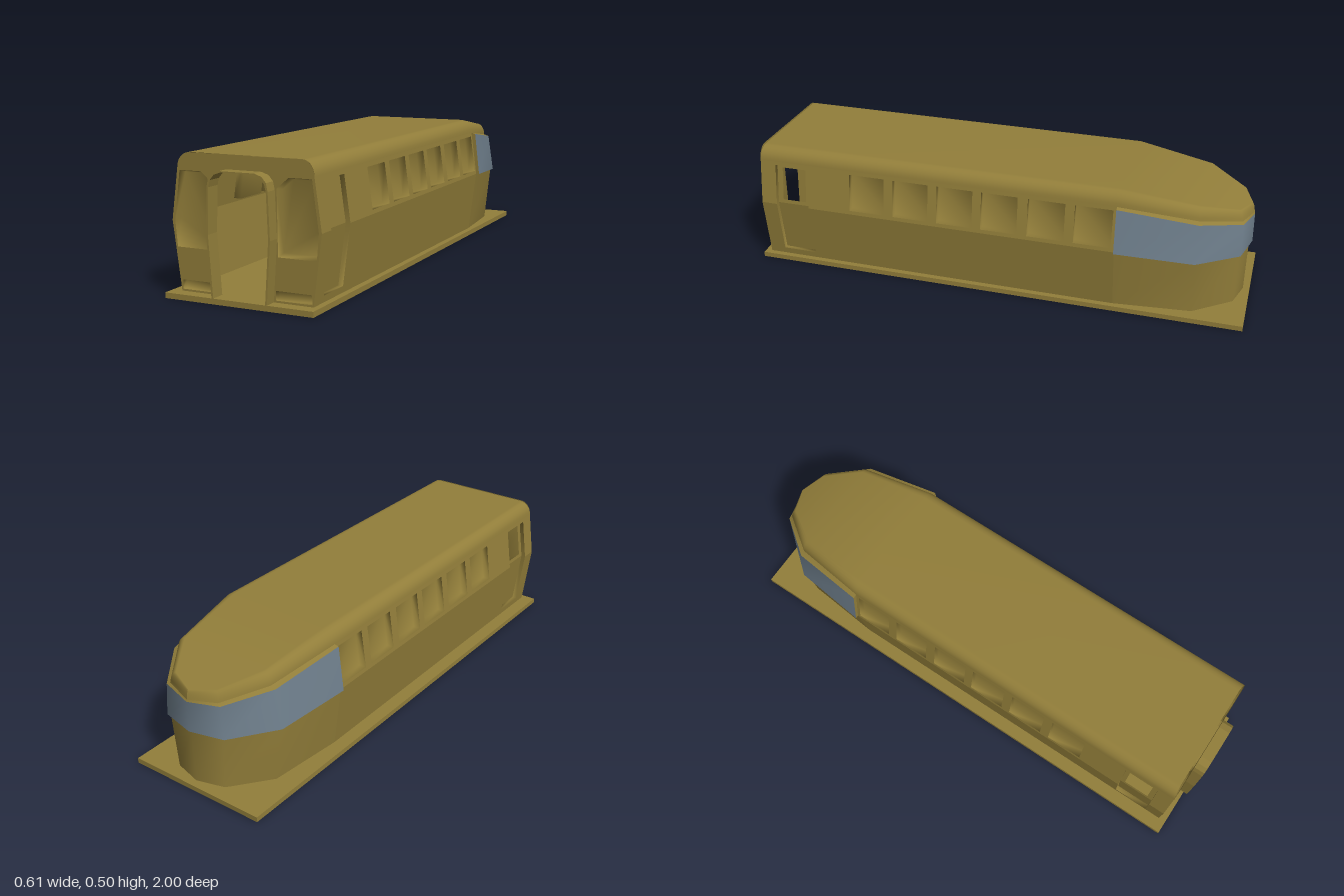
import * as THREE from 'three';

const gold = new THREE.MeshStandardMaterial({ color: 0x927e3a, side: THREE.DoubleSide });
gold.name = 'gold body';
const glass = new THREE.MeshStandardMaterial({ color: 0x6f7f8c, side: THREE.DoubleSide });
glass.name = 'grey blue glass';

const FRONT = 0.955, BASE = 0.025, BELT = 0.27, EAVE = 0.45, NOSE = -0.5;
const lerp = THREE.MathUtils.lerp;

// half width of the kinked side wall at a height
const wallX = (y) => y <= BELT
  ? lerp(0.255, 0.287, (y - BASE) / (BELT - BASE))
  : lerp(0.287, 0.262, (y - BELT) / (EAVE - BELT));

function surface(points, index) {
  const g = new THREE.BufferGeometry();
  g.setAttribute('position', new THREE.Float32BufferAttribute(points.flat(), 3));
  g.setIndex(index);
  g.computeVertexNormals();
  return g;
}

// smooth skin through rows of points
function loft(rows) {
  const n = rows[0].length, index = [];
  for (let r = 0; r < rows.length - 1; r++) {
    for (let c = 0; c < n - 1; c++) {
      const a = r * n + c, b = a + n;
      index.push(a, a + 1, b + 1, a, b + 1, b);
    }
  }
  return surface(rows.flat(), index);
}

// sunken pocket with softly shaded corners; the floor is optional
function pocket(rim, floor, closed = true) {
  const n = rim.length, index = [];
  for (let i = 0; i < n; i++) {
    const j = (i + 1) % n;
    index.push(i, j, n + j, i, n + j, n + i);
  }
  if (closed) for (let i = 1; i < n - 1; i++) index.push(n, n + i, n + i + 1);
  return surface([...rim, ...floor], index);
}

const shapeOf = (pts) => new THREE.Shape(pts.map(([x, y]) => new THREE.Vector2(x, y)));
const rect = (a, b, c, d) => [[a, c], [b, c], [b, d], [a, d]];

// flat panel drawn in (z, y) and laid onto the side wall
function wallPanel(side, outline, holes = [], inset = 0) {
  const shape = shapeOf(outline);
  shape.holes = holes.map(shapeOf);
  const g = new THREE.ShapeGeometry(shape), p = g.attributes.position;
  for (let i = 0; i < p.count; i++) {
    const z = p.getX(i), y = p.getY(i);
    p.setXYZ(i, side * (wallX(y) - inset), y, z);
  }
  g.computeVertexNormals();
  return g;
}

const mirrorRing = (half) => [...half, ...half.slice(0, -1).reverse().map(([x, y, z]) => [-x, y, z])];

export function createModel() {
  const model = new THREE.Group();
  model.name = 'railCar';
  const add = (name, geometry, material = gold) => {
    const m = new THREE.Mesh(geometry, material);
    m.name = name;
    model.add(m);
    return m;
  };

  // base plate, slightly off centre
  add('basePlate', new THREE.BoxGeometry(0.575, 0.02, 1.985)).position.set(-0.0175, 0.01, -0.0075);

  // roof: eave x, eave y, top x, top y, eave z, top z
  const stations = [
    [0.262, EAVE, 0.215, 0.505, FRONT, FRONT - 0.008],
    [0.262, EAVE, 0.215, 0.505, NOSE, NOSE],
    [0.217, 0.412, 0.185, 0.461, -0.8, -0.795],
    [0.112, 0.38, 0.095, 0.42, -0.95, -0.935],
    [0, 0.37, 0, 0.406, -0.985, -0.975],
  ];
  const arc = ([ex, ey, tx, ty, ze, zt]) => Array.from({ length: 7 }, (_, j) => {
    const a = (j / 6) * Math.PI / 2;
    return [tx + (ex - tx) * Math.cos(a), ey + (ty - ey) * Math.sin(a), lerp(ze, zt, j / 6)];
  });
  const section = (s) => {
    const half = arc(s);
    return [...half, ...half.map(([x, y, z]) => [-x, y, z]).reverse()];
  };
  add('roof', loft(stations.map(section)));

  // nose: lower wall, wraparound window and its lips
  const eave = mirrorRing(stations.slice(1).map((s) => [s[0], s[1], s[4]]));
  const noseFoot = mirrorRing([[0.255, BASE, NOSE], [0.225, BASE, -0.8], [0.11, BASE, -0.945], [0, BASE, -0.975]]);
  const noseBelt = mirrorRing([[0.287, BELT, NOSE], [0.25, 0.252, -0.8], [0.125, 0.243, -0.95], [0, 0.242, -0.977]]);
  const glassLow = mirrorRing([[0.3, 0.27, NOSE], [0.262, 0.252, -0.8], [0.135, 0.243, -0.957], [0, 0.242, -0.989]]);
  const glassTop = mirrorRing([[0.279, 0.446, NOSE], [0.238, 0.405, -0.8], [0.125, 0.373, -0.955], [0, 0.362, -0.987]]);
  add('noseWall', loft([noseFoot, noseBelt]));
  add('noseWindow', loft([glassLow, glassTop]), glass);
  add('noseLowerLip', loft([noseBelt, glassLow]));
  add('noseUpperLip', loft([glassTop, eave]));
  for (const i of [0, 6]) add('noseWindowEnd', loft([[glassLow[i], glassTop[i]], [noseBelt[i], eave[i]]]));

  // side walls with six sunken windows and a door
  const D0 = 0.75, D1 = 0.89, DB = 0.05, DT = 0.435;
  const windows = [0.57, 0.387, 0.205, 0.025, -0.16, -0.342].map((z) => rect(z - 0.145, z, 0.285, 0.435));
  for (const side of [1, -1]) {
    const onWall = (pts, inset) => pts.map(([z, y]) => [side * (wallX(y) - inset), y, z]);
    add('lowerSideWall', wallPanel(side, [[NOSE, BASE], [FRONT, BASE], [FRONT, BELT],
      [D1, BELT], [D1, DB], [D0, DB], [D0, BELT], [NOSE, BELT]]));
    add('upperSideWall', wallPanel(side, [[NOSE, BELT], [D0, BELT], [D0, DT], [D1, DT],
      [D1, BELT], [FRONT, BELT], [FRONT, EAVE], [NOSE, EAVE]], windows));
    for (const w of windows) add('sideWindow', pocket(onWall(w, 0), onWall(w, 0.03)));

    const doorRim = [[D0, DB], [D1, DB], [D1, BELT], [D1, DT], [D0, DT], [D0, BELT]];
    add('sideDoorFrame', pocket(onWall(doorRim, 0), onWall(doorRim, 0.018), false));
    add('sideDoorLower', wallPanel(side, rect(D0, D1, DB, BELT), [], 0.018));
    add('sideDoorUpper', wallPanel(side, rect(D0, D1, BELT, DT), [rect(0.768, 0.868, 0.285, 0.42)], 0.018));
  }

  // front wall with an arched doorway and sunken panels
  const door = [[0.1, BASE], [0.115, 0.24], [0.109, 0.4], [0.103, 0.424], [0.087, 0.443], [0.06, 0.452]];
  const flip = (pts) => pts.map(([x, y]) => [-x, y]).reverse();
  const half = [[0.255, BASE], [0.287, BELT], ...arc(stations[0]).map(([x, y]) => [x, y])];
  const upper = [[0.125, 0.178], [0.268, 0.178], [0.276, BELT], [0.253, 0.443], [0.168, 0.443], [0.123, 0.405]];
  const lower = rect(0.115, 0.25, 0.032, 0.065);
  const frontShape = shapeOf([...half, ...flip(half), ...flip(flip(door)).map(([x, y]) => [-x, y]), ...flip(door).map(([x, y]) => [-x, y])]);
  frontShape.holes = [upper, lower, flip(upper), flip(lower)].map(shapeOf);
  add('frontWall', new THREE.ShapeGeometry(frontShape)).position.z = FRONT;

  for (const side of [1, -1]) {
    const at = (pts, z, k = 1) => {
      const cx = pts.reduce((s, p) => s + p[0], 0) / pts.length;
      const cy = pts.reduce((s, p) => s + p[1], 0) / pts.length;
      return pts.map(([x, y]) => [side * lerp(cx, x, k), lerp(cy, y, k), z]);
    };
    add('frontPanel', pocket(at(upper, FRONT), at(upper, FRONT - 0.03, 0.93)));
    add('frontStep', pocket(at(lower, FRONT), at(lower, FRONT - 0.02, 0.95)));
  }

  // doorway collar standing proud of the front wall
  const outer = door.map(([x, y], i) => [x + 0.007, y + (i > 2 ? 0.004 : 0)]);
  const collar = shapeOf([...outer, ...flip(outer), ...door.map(([x, y]) => [-x, y]), ...flip(door).map(([x, y]) => [-x, y]).map(([x, y]) => [-x, y]).map(([x, y]) => [-x, y])]);
  add('doorwayCollar', new THREE.ExtrudeGeometry(collar, { depth: 0.055, bevelEnabled: false })).position.z = 0.945;

  return model;
}
